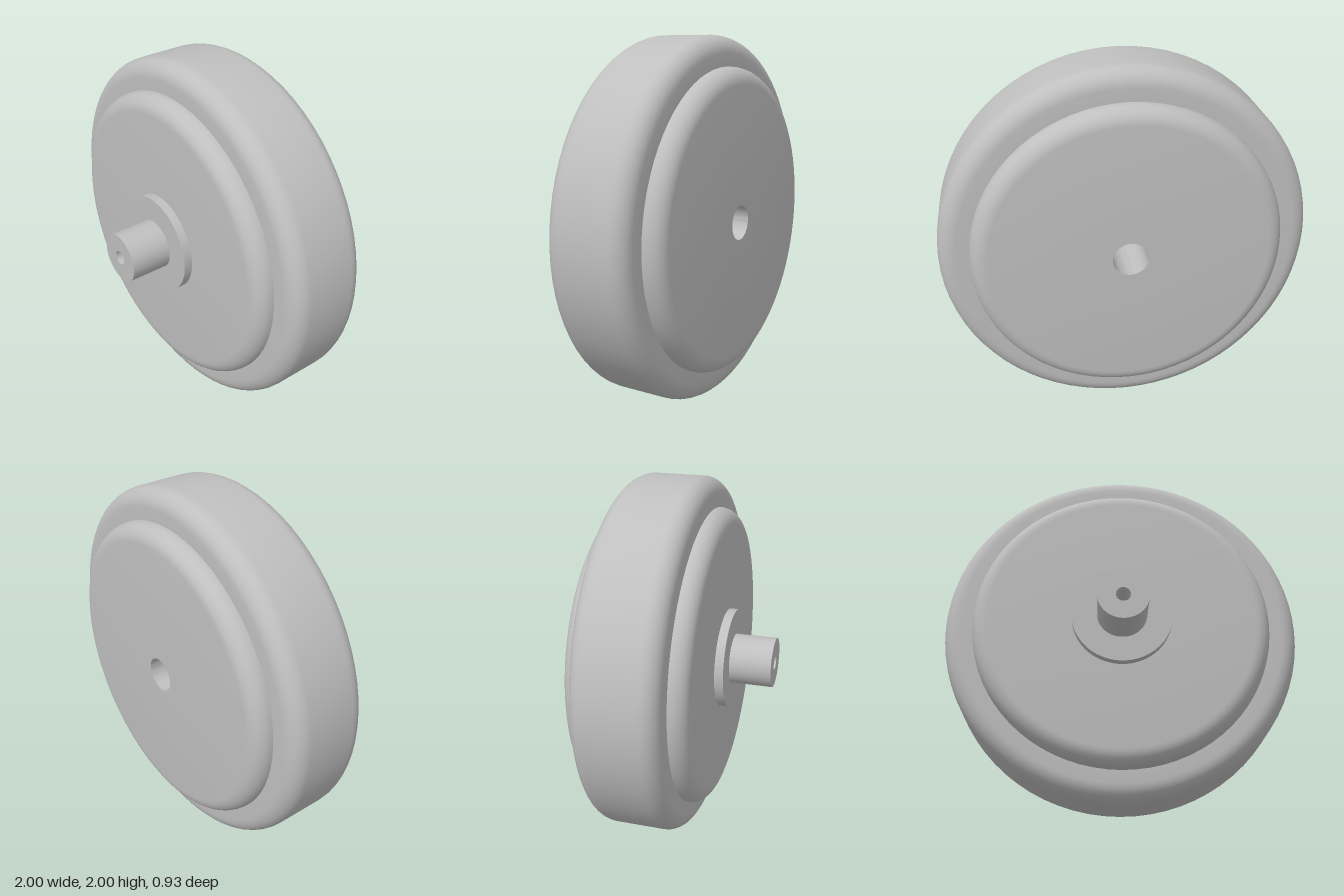
import * as THREE from 'three';
import { toCreasedNormals } from 'three/addons/utils/BufferGeometryUtils.js';

const BACK_BORE = 0.095; // wide bore through the wheel
const FRONT_BORE = 0.04; // narrow bore through the axle

// Profile points [radius, z] run from the back, outwards, to the front
function turned(name, points, material) {
  const profile = points.map(([r, z]) => new THREE.Vector2(r, z));
  const geometry = toCreasedNormals(new THREE.LatheGeometry(profile, 72), 0.6);
  geometry.rotateX(Math.PI / 2);
  const mesh = new THREE.Mesh(geometry, material);
  mesh.name = name;
  return mesh;
}

// Disc outline with both outer edges rounded
function roundedRim(inner, radius, back, front, round, steps = 8) {
  const points = [[inner, back]];
  for (const [cz, start] of [[back + round, -Math.PI / 2], [front - round, 0]]) {
    for (let i = 0; i <= steps; i++) {
      const a = start + (i / steps) * (Math.PI / 2);
      points.push([radius - round + round * Math.cos(a), cz + round * Math.sin(a)]);
    }
  }
  points.push([inner, front]);
  return points;
}

export function createModel() {
  const group = new THREE.Group();
  group.name = 'wheel';
  const grey = new THREE.MeshStandardMaterial({ color: 0xbfbfbf });
  grey.name = 'plain grey';

  // Wide tread, seated on the hub
  group.add(turned('tread', roundedRim(0.835, 1, -0.37, 0.09, 0.095), grey));

  // Hub disc, closed by the wall of its bore
  const hub = roundedRim(BACK_BORE, 0.835, -0.465, 0.183, 0.09);
  hub.push([BACK_BORE, -0.465]);
  group.add(turned('hub', hub, grey));

  // Flange and axle stub share the narrow bore
  group.add(turned('flange', [
    [FRONT_BORE, 0.183], [0.278, 0.183], [0.278, 0.232], [0.139, 0.232],
  ], grey));
  group.add(turned('axle', [
    [0.139, 0.232], [0.139, 0.465], [FRONT_BORE, 0.465], [FRONT_BORE, 0.183],
  ], grey));

  group.position.y = 1;
  const model = new THREE.Group();
  model.name = 'wheelWithAxle';
  model.add(group);
  return model;
}
